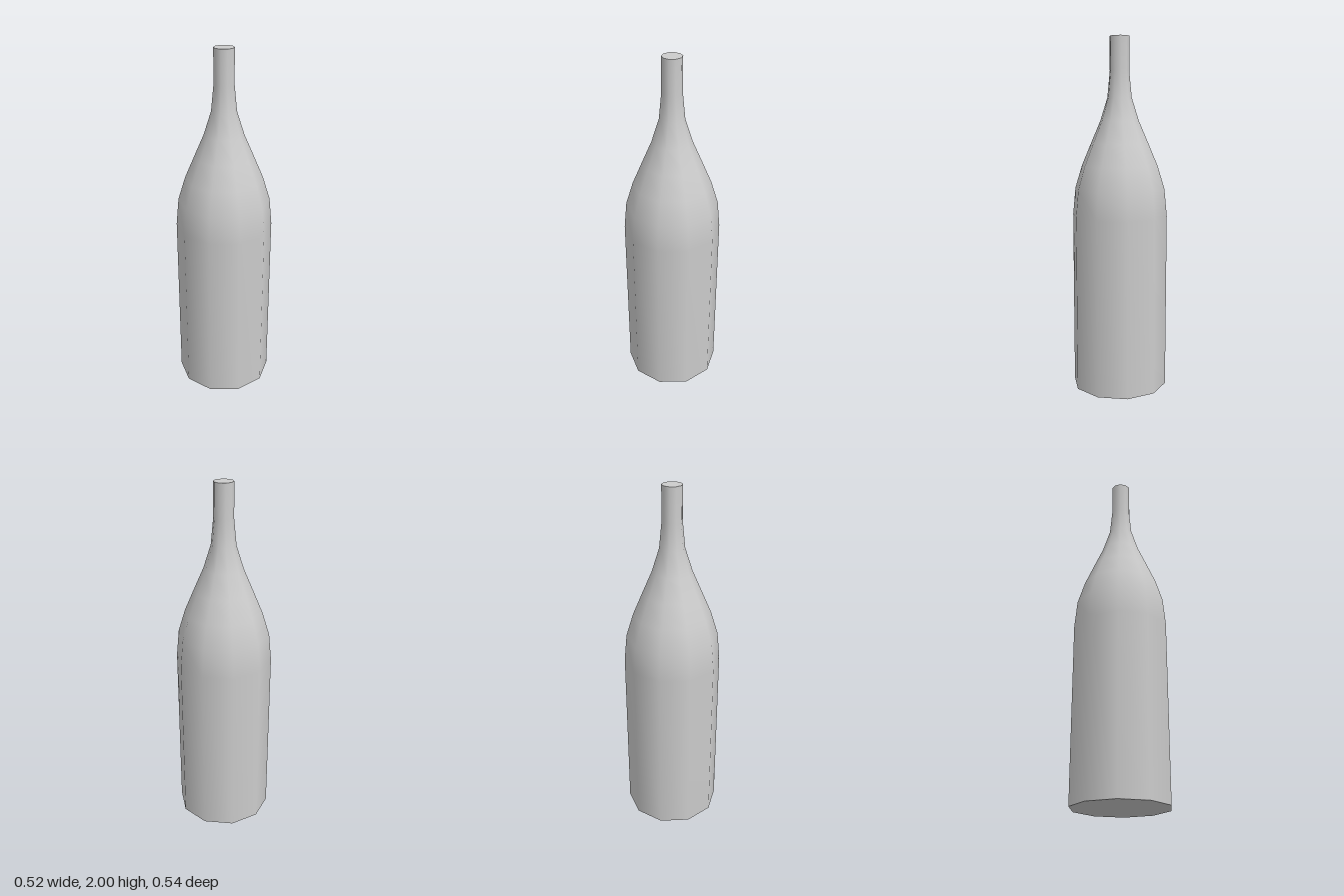
import * as THREE from 'three';

const SIDES = 10;
const BODY_R = 0.272;
const NECK_R = 0.055;

export function createModel() {
  const group = new THREE.Group();
  group.name = 'bottle';
  const material = new THREE.MeshStandardMaterial({ color: 0xcccccc });

  const add = (name, geometry) => {
    const mesh = new THREE.Mesh(geometry, material);
    mesh.name = name;
    group.add(mesh);
    return mesh;
  };

  // Straight body, curved shoulder and slim neck, as [radius, height]
  const profile = [
    [BODY_R, 0], [BODY_R, 1.0], [0.257, 1.155], [0.217, 1.285], [0.164, 1.41],
    [0.11, 1.535], [0.069, 1.665], [NECK_R, 1.81], [NECK_R, 2],
  ].map(([r, y]) => new THREE.Vector2(r, y));
  add('bottleWall', new THREE.LatheGeometry(profile, SIDES));

  // Flat ends, with corners lined up with the wall
  const disc = (r, tilt) => new THREE.CircleGeometry(r, SIDES, Math.PI / 2).rotateX(tilt);
  add('base', disc(BODY_R, Math.PI / 2));
  add('mouthCap', disc(NECK_R, -Math.PI / 2)).position.y = 2;

  return group;
}
